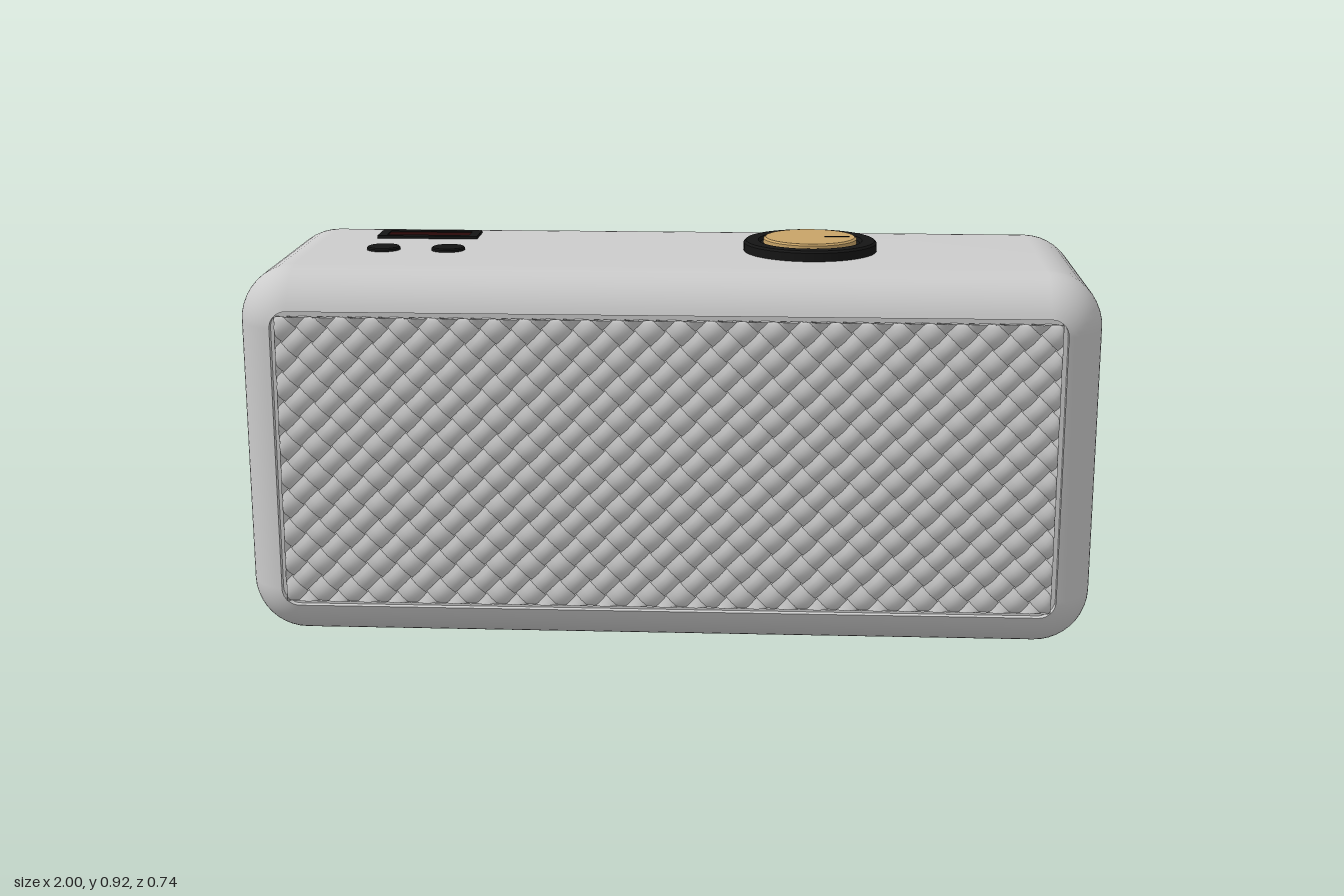
import * as THREE from 'three';
import { mergeVertices } from 'three/addons/utils/BufferGeometryUtils.js';

const W = 1, H = 0.445, D = 0.37, R = 0.13; // half sizes and edge radius
const INSET = 0.09; // distance of the grille opening from the outline

const grey = new THREE.MeshStandardMaterial({ color: 0xcccccc });
const black = new THREE.MeshStandardMaterial({ color: 0x151515 });
const red = new THREE.MeshStandardMaterial({ color: 0x2a0808 });
const gold = new THREE.MeshStandardMaterial({ color: 0xc8a468 });

function mesh(name, geometry, material, x = 0, y = 0, z = 0) {
  const m = new THREE.Mesh(geometry, material);
  m.name = name;
  m.position.set(x, y, z);
  return m;
}

function buildIndexed(positions, index) {
  const g = new THREE.BufferGeometry();
  g.setAttribute('position', new THREE.Float32BufferAttribute(positions, 3));
  g.setIndex(index);
  return g;
}

// Rounded rectangle loop, counter-clockwise seen from the front
function ring(inset, z, scale = 1) {
  const r = Math.max(R - inset, 0), pts = [], n = 10;
  const corners = [[1, 1], [-1, 1], [-1, -1], [1, -1]];
  corners.forEach(([sx, sy], q) => {
    for (let i = 0; i <= n; i++) {
      const a = (q + i / n) * Math.PI / 2;
      pts.push([
        scale * (sx * (W - inset - r) + r * Math.cos(a)),
        scale * (sy * (H - inset - r) + r * Math.sin(a)) + H, z]);
    }
  });
  return pts;
}

function loft(rings) {
  const n = rings[0].length, index = [];
  for (let i = 0; i < rings.length - 1; i++) {
    for (let k = 0; k < n; k++) {
      const a = i * n + k, b = i * n + (k + 1) % n;
      index.push(a, b, b + n, a, b + n, a + n);
    }
  }
  const g = mergeVertices(buildIndexed(rings.flat(2), index), 1e-5);
  g.computeVertexNormals();
  return g;
}

// Outer shell: closed back, rounded edges, open at the grille
function shellGeometry() {
  const rings = [ring(R, -D, 0)], n = 12;
  for (let i = 0; i <= n; i++) {
    const a = (i / n) * Math.PI / 2;
    rings.push(ring(R * (1 - Math.sin(a)), -D + R * (1 - Math.cos(a))));
  }
  const end = Math.acos((R - INSET) / R);
  for (let i = 0; i <= n; i++) {
    const a = (i / n) * end;
    rings.push(ring(R * (1 - Math.cos(a)), D - R + R * Math.sin(a)));
  }
  return loft(rings);
}

// Woven cloth: two sets of diagonal strands passing over and under
function weaveGeometry() {
  const p = 0.05, width = 0.047, amp = 0.006, arch = 0.007, base = 0.357;
  const hx = W - INSET - 0.012, hy = H - INSET - 0.012;
  const along = 6, across = 4, pos = [], index = [];
  const clamp = THREE.MathUtils.clamp, q = Math.SQRT1_2;
  const reach = Math.ceil((hx + hy) * q / p) + 1;
  for (const d of [1, -1]) {
    for (let k = -reach; k <= reach; k++) {
      let previous = -1;
      for (let j = -reach * along; j <= reach * along; j++) {
        const s = j * p / along, c = k * p;
        const cx = q * (s - d * c), cy = q * (d * s + c);
        if (Math.abs(cx) > hx + p || Math.abs(cy) > hy + p) {
          previous = -1;
          continue;
        }
        const start = pos.length / 3;
        const wave = d * amp * Math.cos(Math.PI * (j / along + k));
        for (let i = 0; i <= across; i++) {
          const u = i / across - 0.5, o = u * width;
          pos.push(
            clamp(cx - q * d * o, -hx, hx),
            clamp(cy + q * o, -hy, hy) + H,
            base + wave + arch * Math.cos(u * Math.PI));
          if (previous >= 0 && i < across) {
            const a = previous + i, b = start + i;
            index.push(a, b, b + 1, a, b + 1, a + 1);
          }
        }
        previous = start;
      }
    }
  }
  const g = buildIndexed(pos, index);
  g.computeVertexNormals();
  return g;
}

function lathe(points, segments = 64) {
  // Repeated profile points keep the edges crisp
  const profile = points.flatMap(([x, y]) => [new THREE.Vector2(x, y), new THREE.Vector2(x, y)]);
  return new THREE.LatheGeometry(profile, segments);
}

export function createModel() {
  const model = new THREE.Group();
  model.name = 'speaker';
  const top = 2 * H;

  // Cabinet
  const cabinet = new THREE.Group();
  cabinet.name = 'cabinet';
  const rim = D - R + Math.sqrt(R * R - (R - INSET) ** 2);
  const floor = 0.347;
  cabinet.add(
    mesh('shell', shellGeometry(), grey),
    mesh('openingWall', loft([ring(INSET, rim), ring(INSET, floor)]), grey),
    mesh('grilleBacking', loft([ring(INSET, floor), ring(INSET, floor, 0)]), grey));
  model.add(cabinet, mesh('grille', weaveGeometry(), grey));

  // Volume knob
  const knob = new THREE.Group();
  knob.name = 'volumeKnob';
  knob.position.set(0.33, top, 0);
  knob.add(
    mesh('knobBase', lathe([[0.16, -0.005], [0.16, 0.02], [0.155, 0.025], [0.125, 0.025],
      [0.12, 0.018], [0, 0.018]]), black),
    mesh('knobCap', lathe([[0.112, 0.015], [0.112, 0.029], [0.107, 0.033], [0, 0.033]]), gold),
    mesh('knobMarker', new THREE.BoxGeometry(0.06, 0.004, 0.007), black, 0.065, 0.032, 0));
  model.add(knob);

  // Display: raised frame around a dark red screen
  const display = new THREE.Group();
  display.name = 'display';
  display.position.set(-0.62, top, -0.157);
  display.add(mesh('screen', new THREE.BoxGeometry(0.21, 0.01, 0.06), red, 0, -0.001, 0));
  for (const s of [1, -1]) {
    display.add(
      mesh('frameLong', new THREE.BoxGeometry(0.25, 0.014, 0.018), black, 0, 0, s * 0.037),
      mesh('frameShort', new THREE.BoxGeometry(0.022, 0.014, 0.056), black, s * 0.114, 0, 0));
  }
  model.add(display);

  // Push buttons
  for (const x of [-0.7, -0.543]) {
    model.add(mesh('button', lathe([[0.04, -0.005], [0.04, 0.005], [0.037, 0.008], [0, 0.008]], 40),
      black, x, top, 0.042));
  }
  return model;
}
